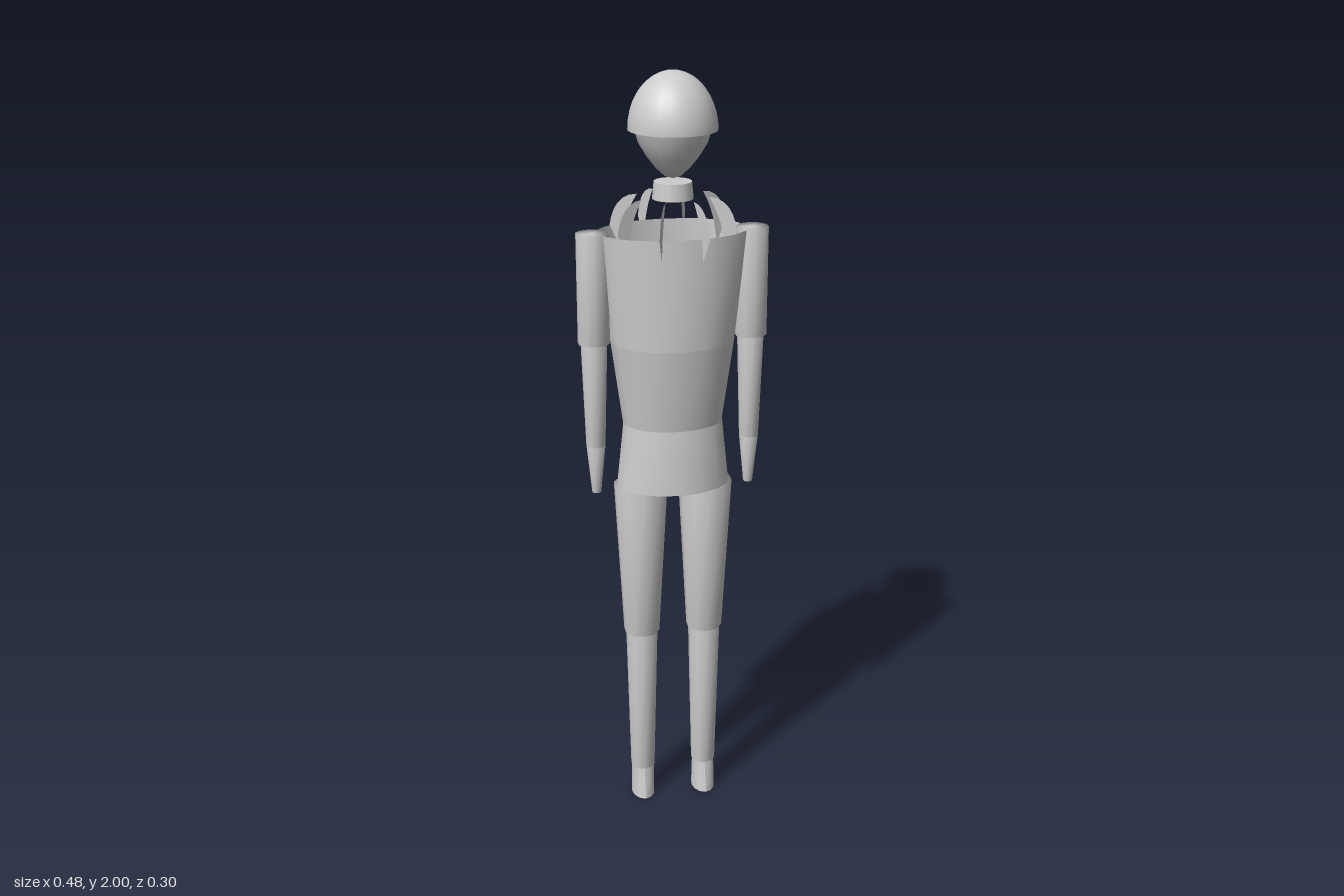
import * as THREE from 'three';
import { mergeVertices } from 'three/addons/utils/BufferGeometryUtils.js';

const solid = new THREE.MeshStandardMaterial({ color: 0xcccccc });
const thin = new THREE.MeshStandardMaterial({ color: 0xcccccc, side: THREE.DoubleSide });

function add(parent, name, geometry, material = solid) {
  const mesh = new THREE.Mesh(geometry, material);
  mesh.name = name;
  parent.add(mesh);
  return mesh;
}

// Share normals across wall and caps so that the ends shade softly
function soften(geometry) {
  geometry.deleteAttribute('normal');
  geometry.deleteAttribute('uv');
  const merged = mergeVertices(geometry);
  merged.computeVertexNormals();
  return merged;
}

// Tapered limb section between two heights
function limb(parent, name, x, yTop, yBottom, rTop, rBottom) {
  const g = new THREE.CylinderGeometry(rTop, rBottom, yTop - yBottom, 10);
  add(parent, name, soften(g)).position.set(x, (yTop + yBottom) / 2, 0);
}

// Open elliptical tube; each end is [y, x radius, z radius]
function shell(bottom, top, sides, open = true) {
  const g = new THREE.CylinderGeometry(1, 1, 1, sides, 1, open);
  const p = g.attributes.position;
  for (let i = 0; i < p.count; i++) {
    const [y, rx, rz] = p.getY(i) > 0 ? top : bottom;
    p.setXYZ(i, p.getX(i) * rx, y, p.getZ(i) * rz);
  }
  g.computeVertexNormals();
  return open ? soften(g) : g;
}

export function createModel() {
  const model = new THREE.Group();
  model.name = 'figure';

  // Head: domed cap over a tapering face
  const head = new THREE.Group();
  head.name = 'head';
  model.add(head);
  const dome = add(head, 'headDome',
    new THREE.SphereGeometry(1, 24, 10, 0, Math.PI * 2, 0, Math.PI / 2), thin);
  dome.scale.set(0.11, 0.14, 0.114);
  dome.position.y = 1.86;
  const rim = add(head, 'domeUnderside', new THREE.CircleGeometry(1, 24));
  rim.rotation.x = Math.PI / 2;
  rim.scale.set(0.11, 0.114, 1);
  rim.position.y = 1.86;
  const face = [[0, 1.742], [0.02, 1.748], [0.042, 1.768], [0.065, 1.797], [0.085, 1.83], [0.095, 1.862]];
  add(head, 'face', new THREE.LatheGeometry(face.map(([r, y]) => new THREE.Vector2(r, y)), 20));

  // Neck
  add(model, 'neck', new THREE.CylinderGeometry(0.048, 0.052, 0.042, 16)).position.y = 1.714;

  // Torso: three open elliptical bands, each seam kept sharp
  const rings = [[0.945, 0.148, 0.107], [1.115, 0.13, 0.093], [1.335, 0.16, 0.124], [1.615, 0.19, 0.121]];
  ['pelvis', 'abdomen', 'chest'].forEach((name, i) =>
    add(model, name, shell(rings[i], rings[i + 1], 16), thin));

  // Ring of thin curved collar fins
  const fin = new THREE.Shape();
  fin.moveTo(0.09, 1.7);
  fin.bezierCurveTo(0.135, 1.7, 0.155, 1.66, 0.16, 1.62);
  fin.lineTo(0.132, 1.56);
  fin.quadraticCurveTo(0.128, 1.64, 0.09, 1.7);
  const finGeometry = new THREE.ShapeGeometry(fin, 6);
  for (let i = 0; i < 8; i++) {
    add(model, 'collarFin', finGeometry, thin).rotation.y = (i + 0.5) * Math.PI / 4;
  }

  // Arms and legs, mirrored
  for (const side of [1, -1]) {
    const label = side > 0 ? 'left' : 'right';
    const arm = new THREE.Group();
    arm.name = label + 'Arm';
    limb(arm, 'upperArm', side * 0.202, 1.615, 1.335, 0.041, 0.041);
    limb(arm, 'forearm', side * 0.202, 1.335, 1.06, 0.034, 0.025);
    limb(arm, 'hand', side * 0.202, 1.06, 0.93, 0.025, 0.012);

    const leg = new THREE.Group();
    leg.name = label + 'Leg';
    limb(leg, 'thigh', side * 0.086, 0.945, 0.515, 0.071, 0.048);
    limb(leg, 'shin', side * 0.086, 0.515, 0.09, 0.043, 0.033);
    const foot = add(leg, 'foot', shell([0, 0.032, 0.047], [0.09, 0.031, 0.029], 12, false));
    foot.position.x = side * 0.086;
    model.add(arm, leg);
  }
  return model;
}
